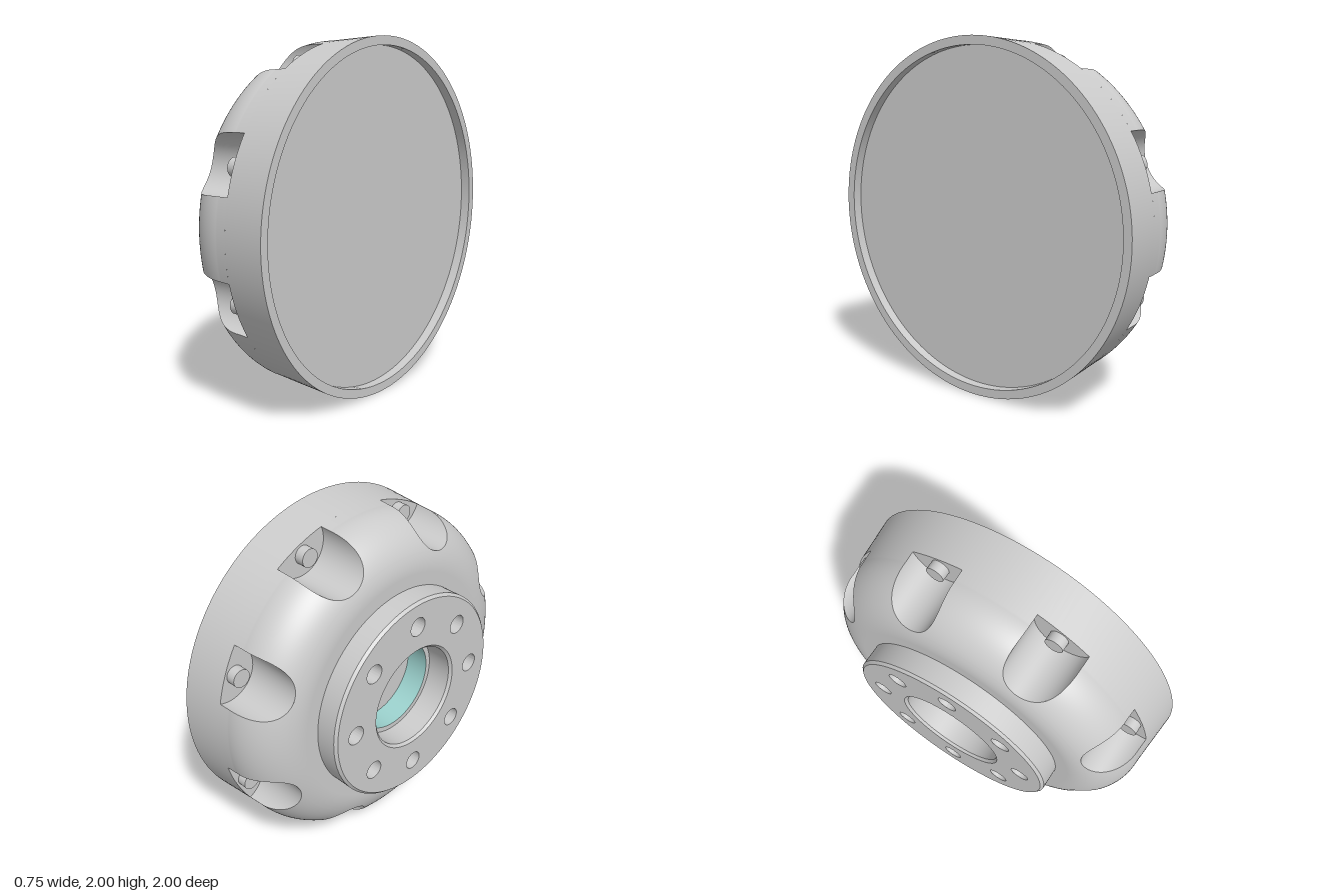
import * as THREE from 'three';
import { toCreasedNormals } from 'three/addons/utils/BufferGeometryUtils.js';
import { ParametricGeometry } from 'three/addons/geometries/ParametricGeometry.js';

const COUNT = 8, STEP = (Math.PI * 2) / COUNT;

// Rounded shoulder: arc radius B about (radius A, height -0.045), then a slight taper
const A = 0.69, B = 0.285, H0 = -0.045, WALL_H = -0.115, WALL_R = 0.98;
// Scooped pocket: a round groove of radius RHO about an axis at radius C
const C = 0.965, RHO = 0.165;
const T0 = Math.asin((C - RHO - A) / B);

const grey = new THREE.MeshStandardMaterial({ color: 0xcccccc });
const teal = new THREE.MeshStandardMaterial({ color: 0x9cd2ce });

// Radius and height of the shoulder, from the pocket tip (v = 0) to the pocket wall (v = 1)
function shoulder(v) {
  if (v < 0.85) {
    const t = T0 + (Math.PI / 2 - T0) * (v / 0.85) ** 2;
    return [A + B * Math.sin(t), H0 + B * Math.cos(t)];
  }
  const k = (v - 0.85) / 0.15;
  return [A + B + (WALL_R - A - B) * k, H0 + (WALL_H - H0) * k];
}

// Half angle of the pocket opening where the shoulder has radius r
const halfAngle = (r) => Math.acos(Math.min(1, (r * r + C * C - RHO * RHO) / (2 * r * C)));

// Skin between two neighbouring pockets
function skinPoint(u, v, out) {
  const [r, h] = shoulder(v), p = halfAngle(r);
  const a = p + (STEP - 2 * p) * u;
  out.set(r * Math.cos(a), h, r * Math.sin(a));
}

// Round floor of a pocket
function groovePoint(u, v, out) {
  const [r, h] = shoulder(0.01 + 0.99 * v), p = halfAngle(r);
  const edge = Math.atan2(r * Math.sin(p), r * Math.cos(p) - C);
  const a = 2 * Math.PI - edge + u * (2 * edge - 2 * Math.PI);
  out.set(C + RHO * Math.cos(a), h, RHO * Math.sin(a));
}

// Flat end wall of a pocket, from its floor out to the skin
function wallPoint(u, v, out) {
  groovePoint(u, 1, out);
  const a = halfAngle(WALL_R) * (2 * u - 1);
  out.lerp(new THREE.Vector3(WALL_R * Math.cos(a), WALL_H, WALL_R * Math.sin(a)), v);
}

function add(parent, name, geometry, material = grey) {
  const mesh = new THREE.Mesh(geometry, material);
  mesh.name = name;
  parent.add(mesh);
  return mesh;
}

// Turned part; a run of several points is smooth, separate runs meet at sharp edges
function turned(parent, name, runs, material) {
  const group = new THREE.Group();
  group.name = name;
  for (const run of runs) {
    const points = run.map(([r, h]) => new THREE.Vector2(r, h));
    add(group, name + 'Surface', new THREE.LatheGeometry(points, 160), material);
  }
  parent.add(group);
}

// Pairs of consecutive points, each a straight sharp-edged run
const sharp = (pts) => pts.slice(1).map((p, i) => [pts[i], p]);

export function createModel() {
  const model = new THREE.Group();
  model.name = 'wheelHub';
  const body = new THREE.Group();
  body.name = 'body';
  body.rotation.z = Math.PI / 2; // turning axis lies along x, hub towards -x
  body.position.y = 1;
  model.add(body);

  // Recessed end disc and the rim around it
  turned(body, 'endDisc', [[[0, -0.315], [0.95, -0.315]]]);
  turned(body, 'rim', sharp([[0.95, -0.315], [0.95, -0.37], [1, -0.37], [WALL_R, WALL_H]]));

  // Shoulder face between the pockets and the hub
  const face = [];
  for (let i = 0; i <= 8; i++) {
    const t = T0 * (1 - i / 8);
    face.push([A + B * Math.sin(t), H0 + B * Math.cos(t)]);
  }
  face.push([0.3, 0.24]);
  turned(body, 'shoulderFace', [face]);

  // Shoulder skin, pockets and the pin in each pocket
  const skin = new ParametricGeometry(skinPoint, 20, 40);
  const groove = new ParametricGeometry(groovePoint, 24, 40);
  const wall = new ParametricGeometry(wallPoint, 24, 1);
  const pin = new THREE.CylinderGeometry(0.052, 0.052, 0.055, 32);
  for (let i = 0; i < COUNT; i++) {
    const sector = new THREE.Group();
    sector.name = 'pocketSector';
    sector.rotation.y = (i + 0.5) * STEP;
    add(sector, 'shoulderSkin', skin);
    add(sector, 'pocketFloor', groove);
    add(sector, 'pocketWall', wall);
    add(sector, 'pocketPin', pin).position.set(0.915, WALL_H + 0.0275, 0);
    body.add(sector);
  }

  // Hub side with its chamfer
  turned(body, 'hubSide', sharp([[0.615, 0.24], [0.615, 0.36], [0.6, 0.375]]));

  // Hub plate with the centre bore and a ring of bolt holes
  const plate = new THREE.Shape().absarc(0, 0, 0.6, 0, Math.PI * 2);
  const hole = (x, y, r) => plate.holes.push(new THREE.Path().absarc(x, y, r, 0, Math.PI * 2, true));
  hole(0, 0, 0.315);
  for (let i = 0; i < COUNT; i++) hole(0.465 * Math.cos(i * STEP), 0.465 * Math.sin(i * STEP), 0.055);
  const plateGeometry = new THREE.ExtrudeGeometry(plate, { depth: 0.135, bevelEnabled: false, curveSegments: 80 });
  plateGeometry.rotateX(-Math.PI / 2).translate(0, 0.24, 0);
  add(body, 'hubPlate', toCreasedNormals(plateGeometry, 0.6));

  // Stepped centre bore with a coloured inner wall
  turned(body, 'bore', sharp([[0.315, 0.375], [0.3, 0.36], [0.3, 0.215], [0.27, 0.215]]));
  turned(body, 'boreLining', [[[0.27, 0.215], [0.27, 0.075]]], teal);
  turned(body, 'boreFloor', [[[0.27, 0.075], [0, 0.075]]]);

  return model;
}
